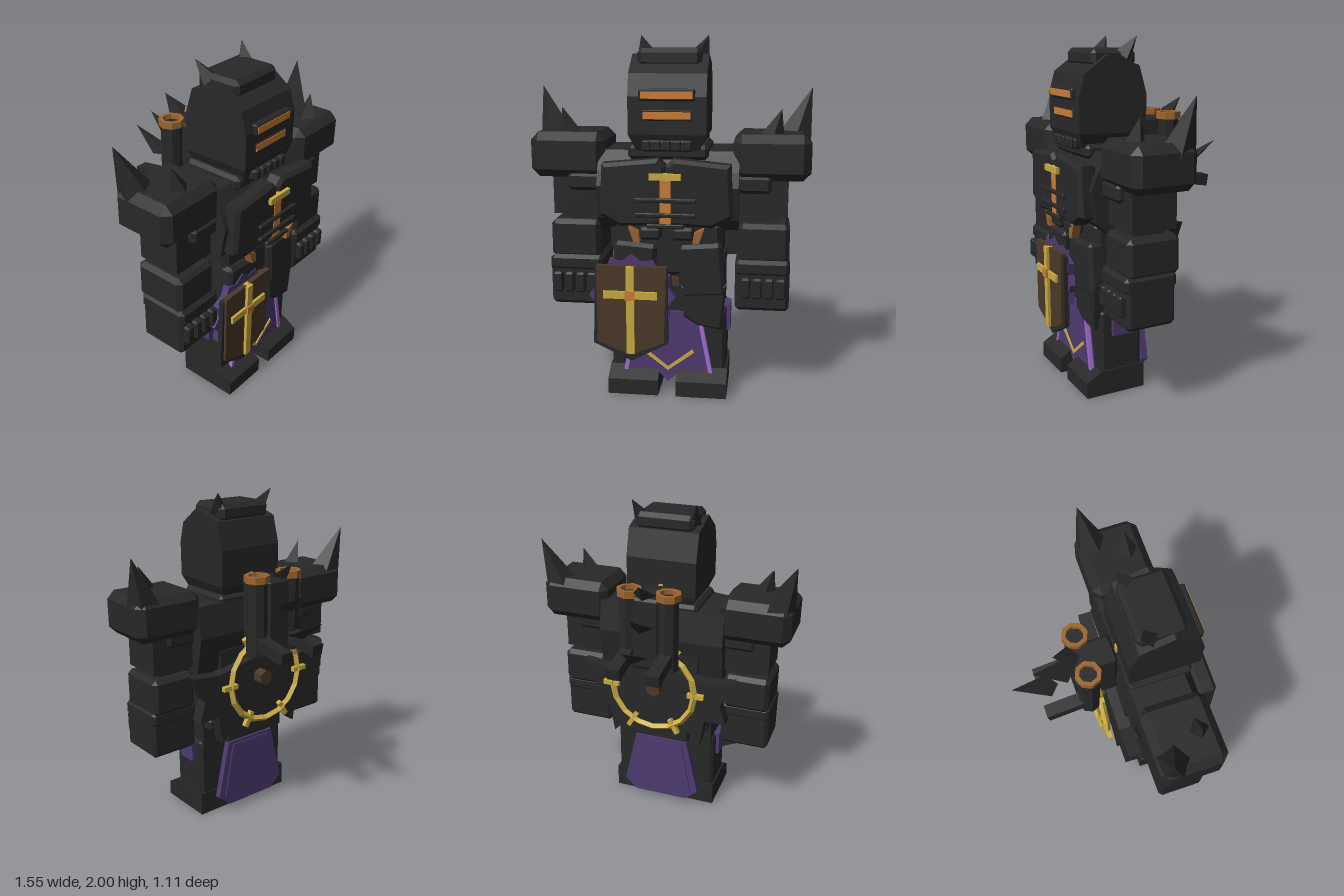
import * as THREE from 'three';
import { ConvexGeometry } from 'three/addons/geometries/ConvexGeometry.js';

const mat = (name, color) => {
  const m = new THREE.MeshStandardMaterial({ color });
  m.name = name;
  return m;
};

export function createModel() {
  const root = new THREE.Group();
  root.name = 'armouredKnight';
  const dark = mat('dark iron', 0x282828), brown = mat('brown leather', 0x4b3929);
  const gold = mat('gold', 0xcbad43), orange = mat('copper orange', 0xcb7c37);
  const bronze = mat('bronze', 0x9c6530);
  const purple = mat('purple cloth', 0x4e3a70), lilac = mat('lilac trim', 0xa56fd4);

  const add = (name, geo, m, parent = root) => {
    const mesh = new THREE.Mesh(geo, m);
    mesh.name = name;
    parent.add(mesh);
    return mesh;
  };
  const hull = (name, m, pts) => add(name, new ConvexGeometry(pts.map(p => new THREE.Vector3(...p))), m);

  // Box given by its limits, with optional chamfered edges
  const box = (name, m, x0, x1, y0, y1, z0, z1, c = 0) => {
    const size = [x1 - x0, y1 - y0, z1 - z0], mid = [(x0 + x1) / 2, (y0 + y1) / 2, (z0 + z1) / 2];
    let geo;
    if (c === 0) geo = new THREE.BoxGeometry(...size);
    else {
      const pts = [];
      for (const sx of [-1, 1]) for (const sy of [-1, 1]) for (const sz of [-1, 1])
        for (let full = 0; full < 3; full++) {
          const s = [sx, sy, sz];
          pts.push(new THREE.Vector3(...s.map((v, i) => v * (size[i] / 2 - (i === full ? 0 : c)))));
        }
      geo = new ConvexGeometry(pts);
    }
    const mesh = add(name, geo, m);
    mesh.position.set(...mid);
    return mesh;
  };

  // Flat outline in x and y, thickened from z0 to z1
  const plate = (name, m, outline, z0, z1, bevel = 0) => {
    const shape = new THREE.Shape(outline.map(p => new THREE.Vector2(...p)));
    const geo = new THREE.ExtrudeGeometry(shape, {
      depth: z1 - z0 - 2 * bevel, bevelEnabled: bevel > 0, bevelSize: bevel,
      bevelThickness: bevel, bevelOffset: -bevel, bevelSegments: 1,
    });
    geo.translate(0, 0, z0 + bevel);
    return add(name, geo, m);
  };

  // Pointed spike or bar between two points
  const rod = (name, m, a, b, r0, r1, sides = 4) => {
    const p = new THREE.Vector3(...a), q = new THREE.Vector3(...b), d = q.clone().sub(p);
    const geo = new THREE.CylinderGeometry(r1, r0, d.length(), sides).toNonIndexed();
    geo.computeVertexNormals();
    const mesh = add(name, geo, m);
    mesh.position.copy(p).add(q).multiplyScalar(0.5);
    mesh.quaternion.setFromUnitVectors(new THREE.Vector3(0, 1, 0), d.normalize());
    return mesh;
  };
  const mirrored = (s, a, b) => s > 0 ? [a, b] : [-b, -a];
  const flip = (s, pts) => pts.map(([x, ...rest]) => [s * x, ...rest]);

  // Helmet
  const headSide = [[0.21, 1.48, 0.465], [0.21, 1.68, 0.465], [0.21, 1.8, 0.43], [0.21, 1.9, 0.29], [0.21, 1.84, 0.1],
    [0.21, 1.68, 0.055], [0.21, 1.47, 0.06], [0.17, 1.39, 0.43], [0.17, 1.39, 0.09]];
  hull('helmet', dark, headSide.concat(flip(-1, headSide)));
  box('helmetCap', dark, -0.175, 0.175, 1.83, 1.93, 0.1, 0.37, 0.025);
  for (const [y, w, z] of [[1.69, 0.138, 0.488], [1.582, 0.127, 0.473]]) {
    box('visorFrame', dark, -w - 0.012, w + 0.012, y - 0.032, y + 0.032, 0.43, z - 0.004, 0.008);
    box('visorSlit', orange, -w, w, y - 0.019, y + 0.019, 0.44, z);
  }
  box('mouthGuard', dark, -0.14, 0.14, 1.39, 1.45, 0.42, 0.468, 0.01);
  for (let i = -2; i <= 2; i++) box('mouthTooth', dark, i * 0.055 - 0.022, i * 0.055 + 0.022, 1.395, 1.45, 0.44, 0.482, 0.006);

  // Torso
  const torsoSide = [[1.385, 0.06], [1.385, 0.38], [1.28, 0.45], [1.2, 0.48], [1.02, 0.45], [0.95, 0.38], [0.95, 0.08], [1.2, 0.03]];
  hull('torso', dark, torsoSide.flatMap(([y, z]) => [[-0.385, y, z], [0.385, y, z]]));
  box('abdomen', dark, -0.3, 0.3, 0.68, 1.0, 0.12, 0.42, 0.03);
  box('collar', dark, -0.22, 0.22, 1.34, 1.42, 0.06, 0.43, 0.02);
  box('collarClasp', gold, -0.012, 0.012, 1.46, 1.535, 0.05, 0.066);
  for (const s of [-1, 1]) {
    plate('breastplate', dark, flip(s, [[0, 1.32], [0.04, 1.36], [0.345, 1.33], [0.36, 1.05], [0.25, 0.99], [0, 1.0]]), 0.43, 0.535, 0.02);
    plate('beltGem', bronze, flip(s, [[0.207, 0.985], [0.15, 0.955], [0.143, 0.9], [0.178, 0.9]]), 0.465, 0.512);
    box('hipBelt', dark, ...mirrored(s, 0.03, 0.15), 0.91, 0.98, 0.42, 0.5, 0.015);
  }
  box('breastPost', orange, -0.03, 0.03, 0.99, 1.26, 0.52, 0.539);
  box('breastBar', gold, -0.085, 0.085, 1.25, 1.285, 0.52, 0.555);
  for (const [y, w] of [[1.14, 0.165], [1.06, 0.165], [1.0, 0.1]]) box('breastRib', dark, -w, w, y - 0.012, y + 0.012, 0.53, 0.553, 0.005);

  // Arms and shoulders
  for (const s of [-1, 1]) {
    box('pauldron', dark, ...mirrored(s, 0.35, 0.768), 1.23, 1.48, 0.05, 0.43, 0.045);
    box('pauldronUnderside', dark, ...mirrored(s, 0.35, 0.56), 1.16, 1.26, 0.1, 0.42, 0.02);
    rod('largeShoulderSpike', dark, [s * 0.68, 1.43, 0.14], [s * 0.775, 1.715, 0.09], 0.1, 0, 5);
    rod('smallShoulderSpike', dark, [s * 0.56, 1.46, 0.32], [s * 0.605, 1.61, 0.31], 0.065, 0);
    rod('helmetHorn', dark, [s * 0.15, 1.89, 0.17], [s * 0.192, 2.0, 0.105], 0.055, 0);
    box('upperArm', dark, ...mirrored(s, 0.36, 0.65), 1.02, 1.28, 0.12, 0.38);
    box('elbow', dark, ...mirrored(s, 0.38, 0.6), 0.95, 1.05, 0.16, 0.35);
    box('forearm', dark, ...mirrored(s, 0.385, 0.665), 0.77, 0.99, 0.1, 0.41, 0.025);
    box('gauntlet', dark, ...mirrored(s, 0.37, 0.67), 0.5, 0.76, 0.13, 0.42, 0.02);
    box('cuff', dark, ...mirrored(s, 0.37, 0.67), 0.7, 0.79, 0.12, 0.43, 0.02);
    for (let i = 0; i < 4; i++) {
      const x = s * (0.43 + i * 0.064);
      box('knuckle', dark, x - 0.027, x + 0.027, 0.58, 0.695, 0.4, 0.455, 0.01);
    }
  }

  // Legs
  const footSide = [[0, 0.14], [0, 0.5], [0.09, 0.5], [0.145, 0.41], [0.145, 0.14]];
  for (const s of [-1, 1]) {
    hull('foot', dark, footSide.flatMap(([y, z]) => [[s * 0.05, y, z], [s * 0.335, y, z]]));
    box('shin', dark, ...mirrored(s, 0.07, 0.325), 0.1, 0.5, 0.15, 0.41, 0.02);
    box('thigh', dark, ...mirrored(s, 0.05, 0.31), 0.45, 0.72, 0.14, 0.41);
    plate('thighGuard', dark, flip(s, [[0.07, 0.64], [0.09, 0.46], [0.17, 0.41], [0.3, 0.39], [0.325, 0.65]]), 0.36, 0.452, 0.012);
    const hip = box('hipGuard', dark, ...mirrored(s, 0.07, 0.31), 0.58, 0.88, 0.35, 0.46, 0.02);
    hip.rotation.z = s * 0.08;
    box('sidePouch', purple, ...mirrored(s, 0.3, 0.345), 0.35, 0.5, 0.215, 0.34);
    box('backHipBlock', dark, ...mirrored(s, 0.06, 0.3), 0.58, 0.66, 0.08, 0.18, 0.015);
  }
  box('pelvis', dark, -0.31, 0.31, 0.48, 0.8, 0.14, 0.4);
  box('buckle', brown, 0.02, 0.06, 0.63, 0.68, 0.4, 0.42);

  // Front cloth with trim and chevron
  plate('frontCloth', purple, [[-0.18, 0.48], [-0.25, 0.11], [-0.05, 0.11], [0, 0.06], [0.05, 0.11], [0.25, 0.11], [0.18, 0.48]], 0.41, 0.432);
  for (const s of [-1, 1]) {
    plate('clothTrim', lilac, flip(s, [[0.233, 0.11], [0.256, 0.11], [0.188, 0.46], [0.165, 0.46]]), 0.418, 0.442);
    plate('chevron', gold, flip(s, [[0, 0.13], [0.148, 0.243], [0.14, 0.262], [0, 0.152]]), 0.43, 0.439);
  }

  // Back cloth
  plate('backCloth', purple, [[-0.17, 0.48], [-0.25, 0.12], [-0.17, 0.05], [0.17, 0.05], [0.25, 0.12], [0.17, 0.48]], 0.066, 0.105);
  plate('backClothPanel', purple, [[-0.14, 0.46], [-0.205, 0.11], [0.205, 0.11], [0.14, 0.46]], 0.058, 0.066);
  box('backClothHanger', dark, -0.17, 0.17, 0.46, 0.6, 0.08, 0.16, 0.01);

  // Shield with leafy wreath behind it
  const wreath = Array.from({ length: 24 }, (_, i) => {
    const a = i * Math.PI / 12 + Math.PI / 2, r = i % 2 ? 0.21 : 0.245;
    return [-0.2 + r * Math.cos(a), 0.575 + r * Math.sin(a)];
  });
  plate('shieldWreath', purple, wreath, 0.425, 0.465);
  plate('shieldRim', dark, [[-0.4, 0.74], [-0.415, 0.3], [-0.2, 0.2], [0.005, 0.31], [0.005, 0.74]], 0.46, 0.49);
  plate('shieldFace', brown, [[-0.39, 0.76], [-0.39, 0.315], [-0.2, 0.24], [-0.015, 0.32], [0, 0.76]], 0.475, 0.505);
  box('shieldCrossPost', gold, -0.222, -0.178, 0.255, 0.76, 0.48, 0.523);
  box('shieldCrossArm', gold, -0.35, -0.05, 0.575, 0.617, 0.48, 0.52);
  box('shieldStud', orange, -0.227, -0.173, 0.57, 0.623, 0.5, 0.532);

  // Jagged back plates
  for (const s of [-1, 1]) plate('backWing', dark, flip(s, [[0, 1.04], [0.3, 0.98], [0.48, 1.0], [0.4, 0.84], [0.44, 0.72],
    [0.31, 0.72], [0.28, 0.54], [0.17, 0.65], [0, 0.57]]), -0.022, 0.055);
  box('lowerBack', dark, -0.24, 0.24, 0.68, 1.1, 0.04, 0.16);

  // Golden halo on the back
  const ring = add('haloRing', new THREE.TorusGeometry(0.26, 0.02, 4, 16).toNonIndexed(), gold);
  ring.geometry.computeVertexNormals();
  ring.position.set(0, 0.915, -0.08);
  for (let i = 0; i < 6; i++) {
    const a = i * Math.PI / 3;
    const spoke = box('haloSpoke', gold, -0.05, 0.05, -0.014, 0.014, -0.014, 0.014);
    spoke.position.set(0.267 * Math.cos(a), 0.915 + 0.267 * Math.sin(a), -0.08);
    spoke.rotation.z = a;
  }
  rod('haloHub', brown, [0, 0.915, -0.02], [0, 0.915, -0.088], 0.048, 0.048, 6);

  // Power pack with exhausts, pipes and spine spikes
  box('powerPack', dark, -0.08, 0.08, 1.1, 1.535, -0.2, 0.04, 0.015);
  for (const s of [-1, 1]) {
    rod('exhaust', dark, [s * 0.117, 1.1, -0.14], [s * 0.117, 1.54, -0.14], 0.062, 0.062, 8);
    const rim = [[0.05, 0], [0.074, 0], [0.074, 0.04], [0.05, 0.04], [0.05, 0]].map(p => new THREE.Vector2(...p));
    const rimGeo = new THREE.LatheGeometry(rim, 8).toNonIndexed();
    rimGeo.computeVertexNormals();
    add('exhaustRim', rimGeo, bronze).position.set(s * 0.117, 1.528, -0.14);
    const pipe = box('backPipe', dark, ...mirrored(s, 0.08, 0.155), 1.13, 1.2, -0.4, -0.15);
    pipe.rotation.x = -0.17;
  }
  // Each spike leans back from a flat diamond base
  for (const [y, z, len, tipY, tipZ] of [[1.545, -0.15, 0.1, 1.64, -0.295], [1.37, -0.19, 0.11, 1.49, -0.42], [1.235, -0.29, 0.11, 1.36, -0.55]])
    hull('spineSpike', dark, [[0, y, z], [0, y, z - len], [0.068, y + 0.02, z - len / 2], [-0.068, y + 0.02, z - len / 2], [0, tipY, tipZ]]);

  return root;
}
